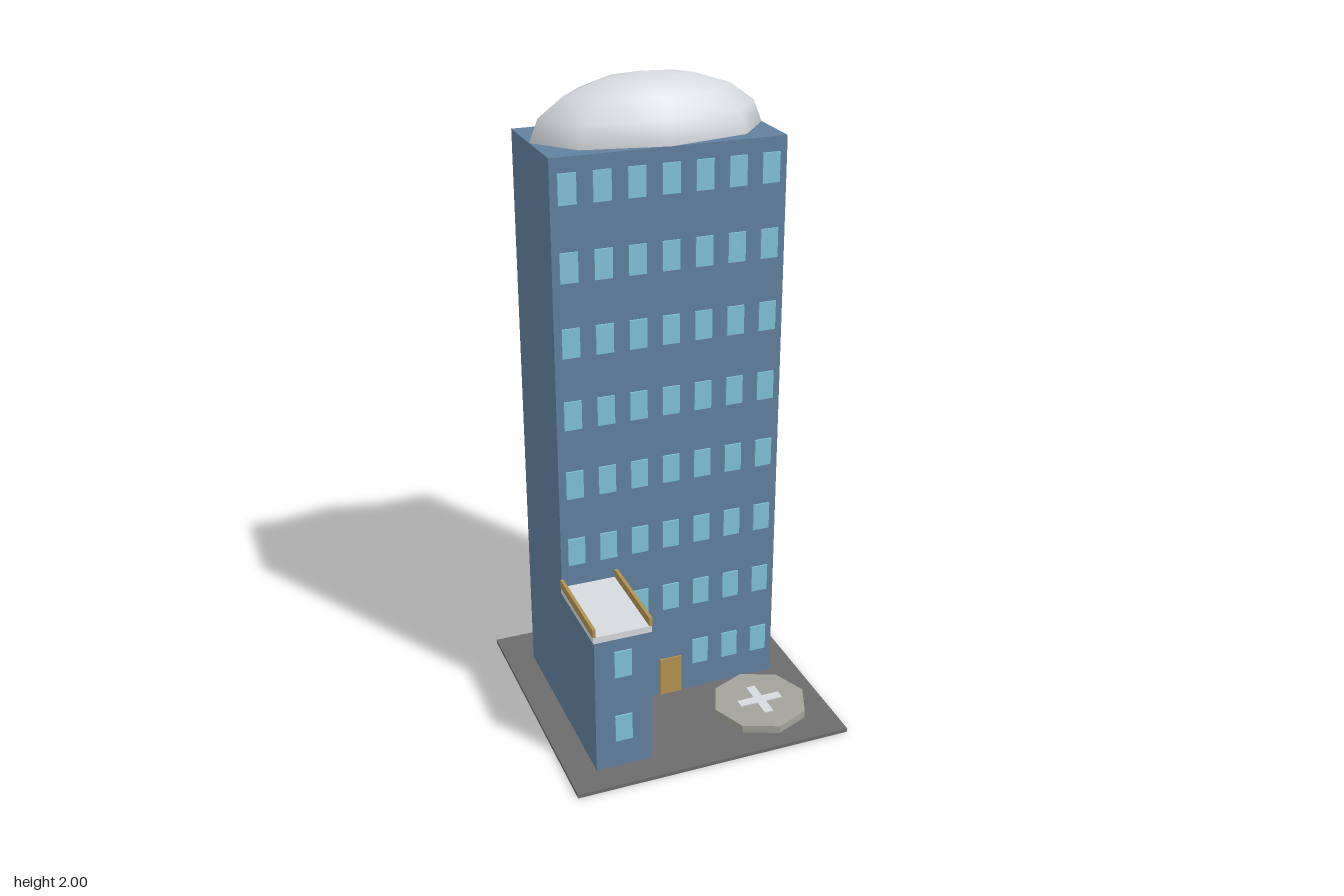
import * as THREE from 'three';

const material = (name, color) => {
  const m = new THREE.MeshStandardMaterial({ color });
  m.name = name;
  return m;
};

export function createModel() {
  const model = new THREE.Group();
  model.name = 'towerBlock';

  const blue = material('wallBlue', 0x61809e);
  const glass = material('windowBlue', 0x80c2d6);
  const white = material('roofWhite', 0xd6dade);
  const gold = material('ochre', 0xb3924f);
  const asphalt = material('asphaltGrey', 0x6c6c6c);
  const stone = material('padGrey', 0xa3a39b);

  // Box given by its low and high corners
  const box = (name, mat, [x0, y0, z0], [x1, y1, z1], parent = model) => {
    const mesh = new THREE.Mesh(new THREE.BoxGeometry(x1 - x0, y1 - y0, z1 - z0), mat);
    mesh.position.set((x0 + x1) / 2, (y0 + y1) / 2, (z0 + z1) / 2);
    mesh.name = name;
    parent.add(mesh);
    return mesh;
  };

  const ground = 0.012, roof = 1.825, front = 0.057, annexFront = 0.36;

  box('groundSlab', asphalt, [-0.446, 0, -0.446], [0.446, ground, 0.446]);
  box('tower', blue, [-0.357, ground, -0.3], [0.357, roof, front]);

  // Eight-sided smooth dome stretched over the roof
  const dome = new THREE.Mesh(
    new THREE.SphereGeometry(1, 8, 4, 0, Math.PI * 2, 0, Math.PI / 2), white);
  dome.name = 'roofDome';
  dome.scale.set(0.357, 0.175, 0.179);
  dome.position.set(0, roof, -0.121);
  model.add(dome);

  // Front wing with roof slab and side parapets
  const annex = new THREE.Group();
  annex.name = 'annex';
  model.add(annex);
  box('annexWalls', blue, [-0.357, ground, front], [-0.181, 0.465, 0.357], annex);
  box('annexRoof', white, [-0.36, 0.465, front], [-0.178, 0.486, annexFront], annex);
  for (const x of [-0.362, -0.186]) {
    box('parapet', gold, [x, 0.486, front], [x + 0.01, 0.513, annexFront], annex);
  }

  // Window grid
  const windows = new THREE.Group();
  windows.name = 'windows';
  model.add(windows);
  const addWindow = (x, y, z) =>
    box('window', glass, [x - 0.027, y - 0.045, z], [x + 0.027, y + 0.045, z + 0.005], windows);
  for (let row = 0; row < 8; row++) {
    const y = 0.15 + row * 0.2265;
    for (let col = 0; col < 7; col++) {
      const behindAnnex = row < 2 && col === 0;
      const atDoor = row === 0 && col === 3;
      if (!behindAnnex && !atDoor) addWindow((col - 3) * 0.1025, y, front);
    }
    if (row < 2) addWindow(-0.269, y, 0.357);
  }

  box('door', gold, [-0.037, ground, front], [0.037, 0.145, front + 0.006]);

  // Octagonal landing pad with a painted cross
  const px = 0.238, pz = 0.236, padTop = 0.037;
  const padGeometry = new THREE.CylinderGeometry(0.153, 0.153, padTop - ground, 8).toNonIndexed();
  padGeometry.computeVertexNormals();
  const pad = new THREE.Mesh(padGeometry, stone);
  pad.name = 'landingPad';
  pad.position.set(px, (padTop + ground) / 2, pz);
  model.add(pad);
  box('crossBar', white, [px - 0.072, padTop, pz - 0.015], [px + 0.072, padTop + 0.003, pz + 0.015]);
  for (const [a, b] of [[-0.072, -0.015], [0.015, 0.072]]) {
    box('crossArm', white, [px - 0.015, padTop, pz + a], [px + 0.015, padTop + 0.003, pz + b]);
  }

  return model;
}
